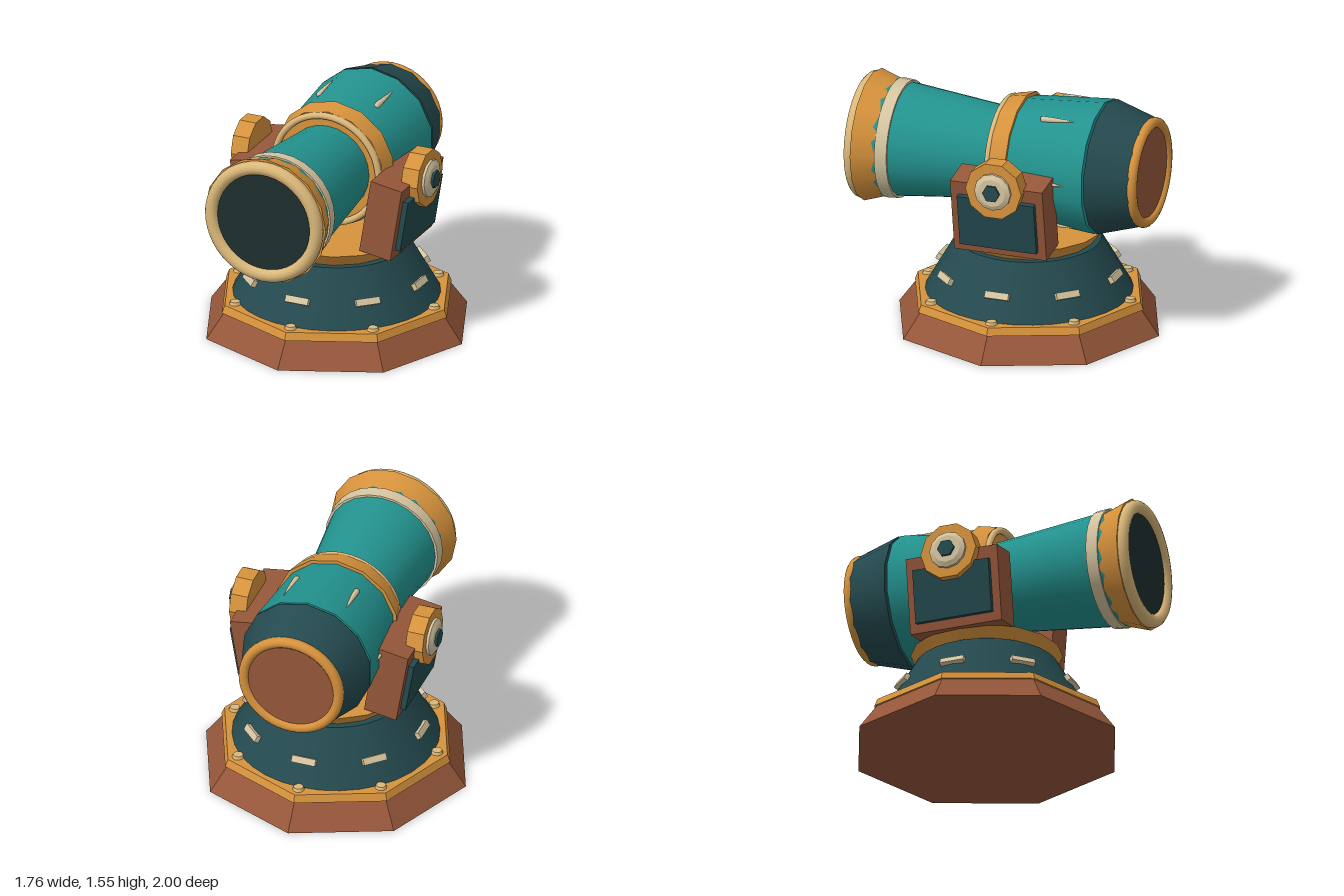
import * as THREE from 'three';

const mat = (name, color, flatShading = false) => {
  const m = new THREE.MeshStandardMaterial({ color });
  m.name = name;
  m.flatShading = flatShading;
  return m;
};

export function createModel() {
  const root = new THREE.Group();
  root.name = 'cannon';

  const brown = mat('brown wood', 0x96573a, true);
  const ochre = mat('ochre', 0xd6923c);
  const teal = mat('teal', 0x23938f);
  const dark = mat('dark teal', 0x244a4f);
  const sand = mat('sand gold', 0xdbb87a);
  const cream = mat('cream', 0xd6c5a0);
  const bore = mat('bore black', 0x1f2e2f);
  const ochreFlat = ochre.clone();
  ochreFlat.flatShading = true;

  const CZ = -0.12; // z of the turning axis of the base
  const AY = 1.11;  // height of the barrel axis

  const add = (parent, name, geometry, material, x = 0, y = 0, z = 0) => {
    const mesh = new THREE.Mesh(geometry, material);
    mesh.name = name;
    mesh.position.set(x, y, z);
    parent.add(mesh);
    return mesh;
  };

  // ---- Pedestal: stacked upright cylinders ----
  const base = new THREE.Group();
  base.name = 'pedestal';
  base.position.z = CZ;
  root.add(base);
  const tier = (name, y0, y1, r0, r1, sides, material) =>
    add(base, name, new THREE.CylinderGeometry(r1, r0, y1 - y0, sides), material, 0, (y0 + y1) / 2, 0);
  tier('basePlinth', 0, 0.165, 0.88, 0.76, 8, brown);
  tier('baseTrim', 0.165, 0.215, 0.775, 0.755, 8, ochreFlat);
  tier('baseCone', 0.21, 0.565, 0.665, 0.462, 32, dark);
  tier('collar', 0.55, 0.65, 0.41, 0.485, 16, ochre);

  // Bolts on the trim corners and plates around the cone
  for (let i = 0; i < 8; i++) {
    const spoke = new THREE.Group();
    spoke.name = 'baseSpoke';
    spoke.rotation.y = i * Math.PI / 4;
    base.add(spoke);
    add(spoke, 'bolt', new THREE.CylinderGeometry(0.032, 0.04, 0.025, 10), sand, 0, 0.223, 0.685);
    const plate = add(spoke, 'conePlate', new THREE.BoxGeometry(0.16, 0.045, 0.04), cream, 0, 0.367, 0.58);
    plate.rotation.x = -0.52;
  }

  // ---- Barrel: cylinders along z ----
  const barrel = new THREE.Group();
  barrel.name = 'barrel';
  barrel.position.y = AY;
  root.add(barrel);
  const section = (name, zFront, zBack, rFront, rBack, sides, material) =>
    add(barrel, name,
      new THREE.CylinderGeometry(rFront, rBack, zFront - zBack, sides).rotateX(Math.PI / 2),
      material, 0, 0, (zFront + zBack) / 2);
  const ring = (name, z, radius, tube, material) =>
    add(barrel, name, new THREE.TorusGeometry(radius, tube, 12, 48), material, 0, 0, z);

  section('frontBarrel', 0.83, -0.02, 0.379, 0.288, 24, teal);
  section('muzzleFlare', 0.94, 0.76, 0.425, 0.365, 16, ochre);
  section('muzzleBand', 0.79, 0.71, 0.386, 0.38, 28, cream);
  ring('muzzleRing', 0.955, 0.367, 0.045, sand);
  section('bore', 0.965, 0.93, 0.345, 0.345, 40, bore);
  section('rearBarrel', 0.01, -0.632, 0.382, 0.436, 14, teal);
  section('middleBand', 0.015, -0.105, 0.39, 0.415, 14, ochre);
  ring('middleRing', 0.028, 0.364, 0.022, sand);
  section('breechCap', -0.648, -0.925, 0.436, 0.352, 14, dark);
  ring('breechRing', -0.934, 0.321, 0.035, ochre);
  section('breechPlate', -0.92, -0.945, 0.315, 0.315, 32, brown);

  // Six tapered studs around the rear barrel
  const studProfile = [[0, 0], [0.014, 0.004], [0.02, 0.018], [0.018, 0.07], [0.01, 0.17], [0, 0.24]]
    .map(([x, y]) => new THREE.Vector2(x, y));
  const studGeometry = new THREE.LatheGeometry(studProfile, 10).rotateX(-Math.PI / 2);
  for (let i = 0; i < 6; i++) {
    const spoke = new THREE.Group();
    spoke.name = 'studSpoke';
    spoke.rotation.z = Math.PI / 6 + i * Math.PI / 3;
    barrel.add(spoke);
    const stud = add(spoke, 'stud', studGeometry, cream, 0, 0.404, -0.272);
    stud.rotation.x = 0.07;
  }

  // ---- Side mounts: the right one is the left turned about the pedestal axis ----
  for (const [name, turn] of [['leftMount', 0], ['rightMount', Math.PI]]) {
    const mount = new THREE.Group();
    mount.name = name;
    mount.position.z = CZ;
    mount.rotation.y = turn;
    root.add(mount);

    const bracket = new THREE.Group();
    bracket.name = 'bracket';
    bracket.position.set(0.455, 0.895, 0);
    bracket.rotation.z = -0.163;
    mount.add(bracket);
    add(bracket, 'bracketBlock', new THREE.BoxGeometry(0.22, 0.5, 0.625), brown);
    add(bracket, 'bracketPanel', new THREE.BoxGeometry(0.04, 0.35, 0.52), dark, 0.125, -0.015, 0);

    const disc = (part, x0, x1, r0, r1, sides, material) =>
      add(mount, part,
        new THREE.CylinderGeometry(r1, r0, x1 - x0, sides).rotateZ(-Math.PI / 2),
        material, (x0 + x1) / 2, AY, 0);
    disc('pivotWheel', 0.54, 0.655, 0.19, 0.19, 10, ochreFlat);
    disc('pivotWasher', 0.65, 0.672, 0.123, 0.123, 12, cream);
    disc('pivotWasherBevel', 0.672, 0.688, 0.123, 0.092, 12, cream);
    disc('pivotNut', 0.68, 0.704, 0.058, 0.058, 6, dark);
  }

  return root;
}
